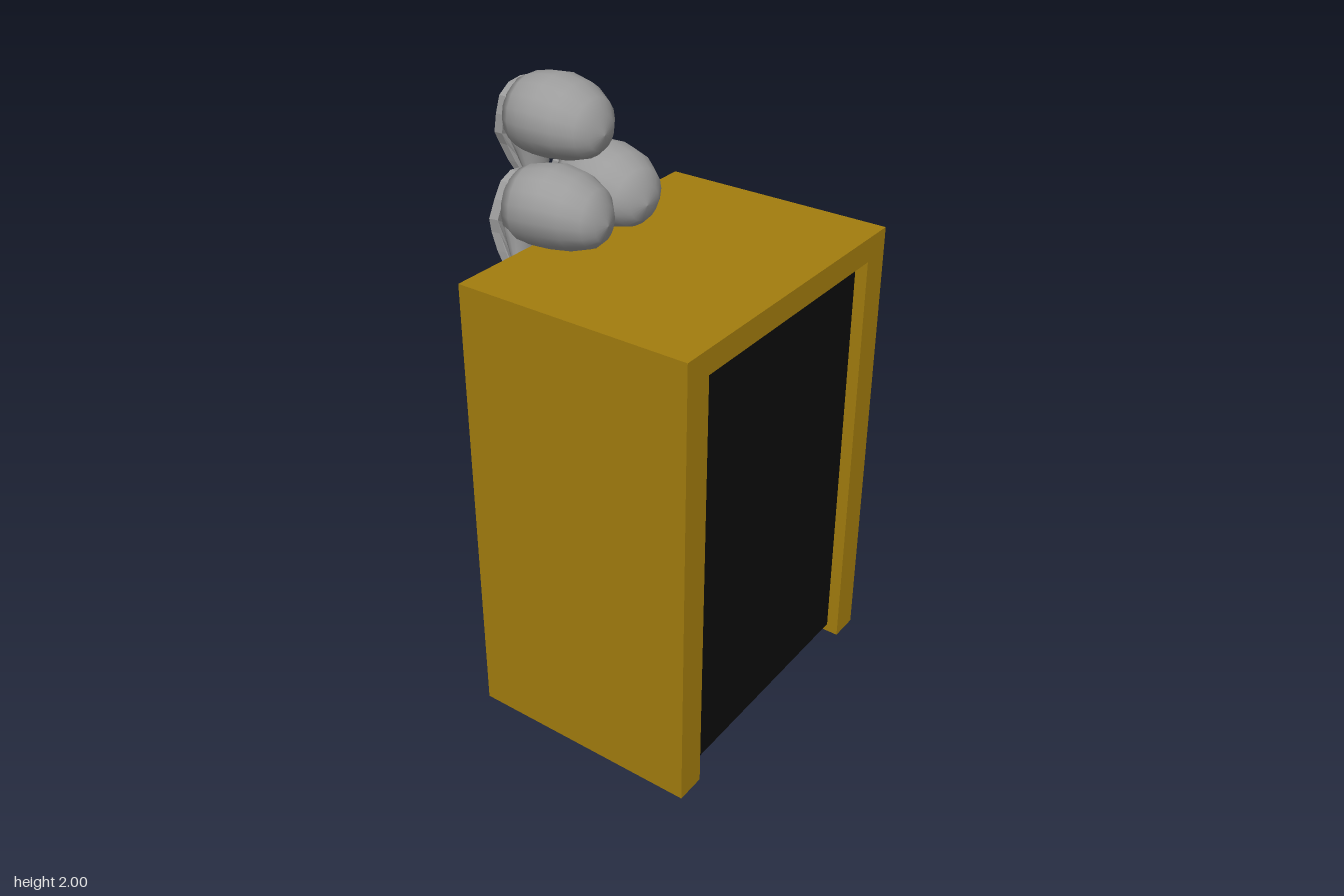
import * as THREE from 'three';

const mat = (name, color, side = THREE.FrontSide) => {
  const m = new THREE.MeshStandardMaterial({ color, side });
  m.name = name;
  return m;
};

// Closed skin through elliptical sections [z, halfWidth, top, bottom], z falling
function loft(sections, n = 18) {
  const pos = [], idx = [];
  sections.forEach(([z, w, t, b], i) => {
    for (let j = 0; j < n; j++) {
      const a = (j / n) * Math.PI * 2;
      pos.push(Math.cos(a) * w, (t + b) / 2 + Math.sin(a) * (t - b) / 2, z);
      if (i === sections.length - 1) continue;
      const p = i * n + j, q = i * n + (j + 1) % n;
      idx.push(p, p + n, q, q, p + n, q + n);
    }
  });
  const g = new THREE.BufferGeometry();
  g.setAttribute('position', new THREE.Float32BufferAttribute(pos, 3));
  g.setIndex(idx);
  g.computeVertexNormals();
  return g;
}

// Depth of the face at a given height: brow, cheek, jaw
const FACE = [[0.11, -0.145], [0.06, -0.16], [0, -0.168], [-0.06, -0.18], [-0.1, -0.175], [-0.15, -0.155], [-0.21, -0.125]];
function faceZ(y) {
  for (let i = 1; i < FACE.length; i++) {
    const [y0, z0] = FACE[i - 1], [y1, z1] = FACE[i];
    if (y >= y1) return z0 + (z1 - z0) * Math.min(Math.max((y0 - y) / (y0 - y1), 0), 1);
  }
  return FACE[FACE.length - 1][1];
}

// Thin bent face plate with eye, nose and tooth openings
function faceMask() {
  const half = [[0, 0.105], [0.05, 0.098], [0.083, 0.065], [0.093, 0.01], [0.092, -0.05], [0.074, -0.09], [0.06, -0.145], [0.042, -0.2], [0, -0.207]];
  const mirrored = half.slice(1, -1).reverse().map(([x, y]) => [-x, y]);
  const shape = new THREE.Shape([...half, ...mirrored].map(([x, y]) => new THREE.Vector2(x, y)));
  const hole = (x, y, rx, ry) => {
    const p = new THREE.Path();
    p.absellipse(x, y, rx, ry, 0, Math.PI * 2);
    shape.holes.push(p);
  };
  for (const s of [-1, 1]) {
    hole(s * 0.045, 0.005, 0.03, 0.029);
    hole(s * 0.012, -0.066, 0.008, 0.02);
  }
  for (let i = -2; i <= 2; i++) hole(i * 0.018, -0.138, 0.0035, 0.026);
  const g = new THREE.ExtrudeGeometry(shape, { depth: 0.03, bevelEnabled: false, curveSegments: 4 });
  const p = g.attributes.position;
  for (let i = 0; i < p.count; i++) p.setZ(i, p.getZ(i) + faceZ(p.getY(i)));
  g.computeVertexNormals();
  return g;
}

export function createModel() {
  const root = new THREE.Group();
  root.name = 'cabinet';
  const wood = mat('ochre wood', 0xa37d0e);
  const black = mat('black interior', 0x0c0c0c);
  const yellow = mat('yellow', 0xc4b00c);
  const bone = mat('grey bone', 0x9c9c9c, THREE.DoubleSide);

  const add = (name, geo, m, x = 0, y = 0, z = 0, parent = root) => {
    const mesh = new THREE.Mesh(geo, m);
    mesh.name = name;
    mesh.position.set(x, y, z);
    parent.add(mesh);
    return mesh;
  };

  // Surround: two posts and a top, open through front, back and floor
  const arch = new THREE.Shape([[-0.53, 0], [-0.43, 0], [-0.43, 1.45], [0.43, 1.45], [0.43, 0], [0.53, 0], [0.53, 1.53], [-0.53, 1.53]]
    .map(([x, y]) => new THREE.Vector2(x, y)));
  add('surround', new THREE.ExtrudeGeometry(arch, { depth: 0.785, bevelEnabled: false }), wood, 0, 0, -0.285);

  // Dark block filling the front of the opening
  add('interior', new THREE.BoxGeometry(0.859, 1.419, 0.48), black, 0, 0.7395, 0.22);

  // Double doors at the back, meeting slightly off centre
  const split = -0.03, doorZ = -0.248;
  for (const s of [-1, 1]) {
    const side = s > 0 ? 'left' : 'right';
    const inner = split + s * 0.009, outer = s * 0.429;
    add(side + 'Door', new THREE.BoxGeometry(Math.abs(outer - inner), 1.443, 0.045), wood, (inner + outer) / 2, 0.7265, doorZ + 0.0225);
    for (let i = 0; i < 3; i++) {
      add(side + 'DoorWindow', new THREE.BoxGeometry(0.122, 0.225, 0.006), yellow, split + s * 0.243, 1.043 - i * 0.3, doorZ - 0.001);
    }
    // Knob on a short stem
    const kx = split + s * 0.047;
    const stem = add(side + 'KnobStem', new THREE.CylinderGeometry(0.028, 0.028, 0.1, 10), wood, kx, 0.76, -0.285);
    stem.rotation.x = Math.PI / 2;
    const knob = add(side + 'Knob', new THREE.SphereGeometry(1, 14, 10), yellow, kx, 0.76, -0.36);
    knob.scale.set(0.048, 0.056, 0.042);
  }

  // Skull parts, shared by all three
  const cranium = loft([
    [0.17, 0, -0.015, -0.015], [0.158, 0.06, 0.045, -0.065], [0.13, 0.1, 0.09, -0.09], [0.07, 0.134, 0.125, -0.108],
    [0, 0.145, 0.14, -0.115], [-0.05, 0.141, 0.136, -0.115], [-0.1, 0.124, 0.125, -0.113], [-0.138, 0.1, 0.106, -0.1],
    [-0.14, 0, 0, 0],
  ]);
  const jaw = loft([[0.03, 0], [0.02, 0.088], [-0.06, 0.088], [-0.1, 0.07], [-0.15, 0.057], [-0.2, 0.04], [-0.203, 0]]
    .map(([y, w]) => {
      const front = -faceZ(y) - 0.022;
      return w ? [y, w, front, Math.min(0.07, front - 0.03)] : [y, 0, 0.095, 0.095];
    })).rotateX(-Math.PI / 2);
  const mask = faceMask();

  // Pile of skulls facing the back: [name, x, y, z, yaw, roll]
  for (const [name, x, y, z, yaw, roll] of [
    ['topSkull', -0.02, 1.86, -0.32, 0, 0],
    ['leftSkull', 0.1, 1.63, -0.235, -0.15, 0],
    ['rightSkull', -0.14, 1.63, -0.235, 0.15, -0.3],
  ]) {
    const skull = new THREE.Group();
    skull.name = name;
    skull.position.set(x, y, z);
    skull.rotation.set(0, yaw, roll, 'YXZ');
    add('cranium', cranium, bone, 0, 0, 0, skull);
    add('jaw', jaw, bone, 0, 0, 0, skull);
    add('face', mask, bone, 0, 0, 0, skull);
    root.add(skull);
  }
  return root;
}
